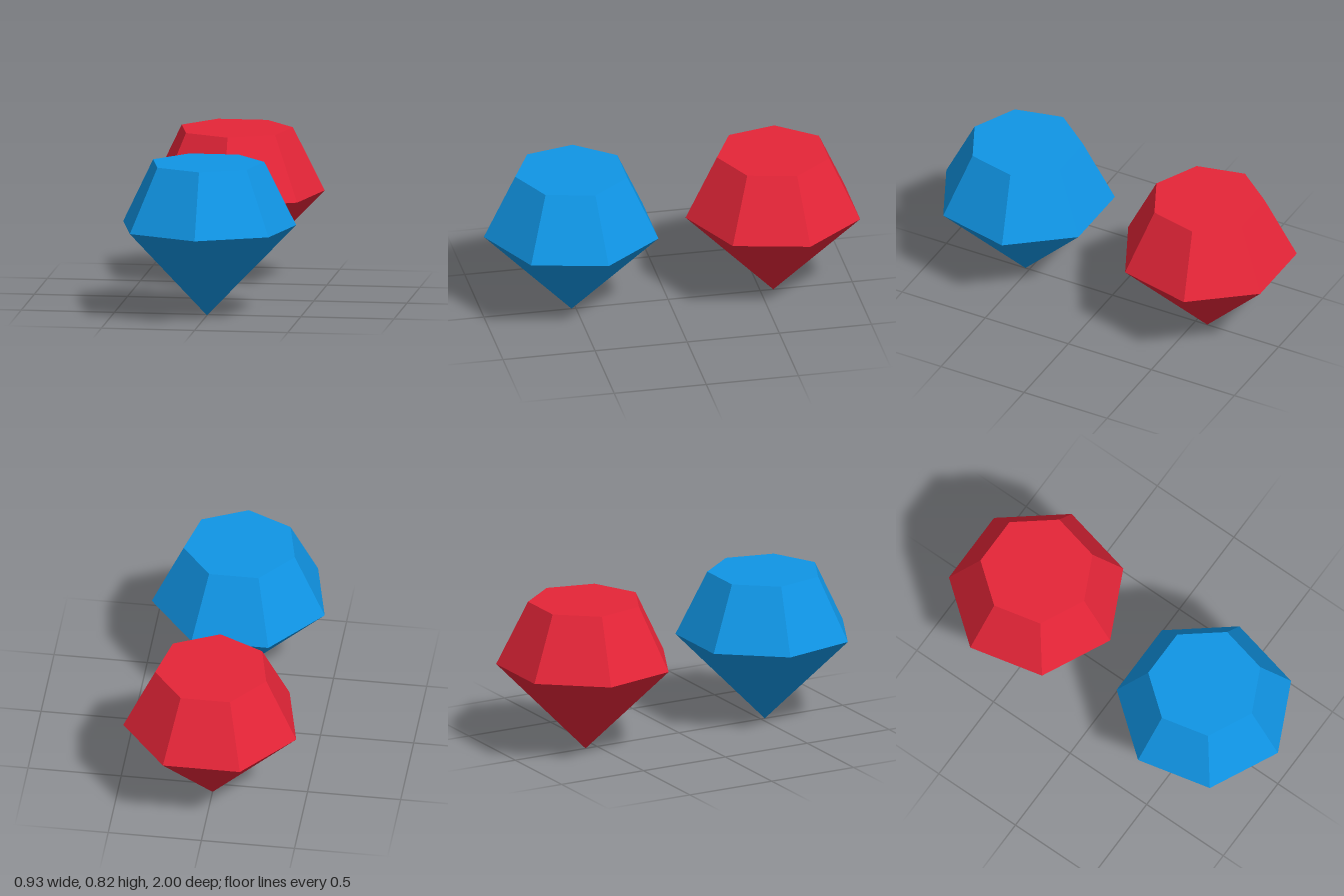
import * as THREE from 'three';

const SIDES = 7;

// Gem outline from the pointed tip up to the centre of the flat table
const PROFILE = [
  [0, 0],
  [0.476, 0.48],
  [0.306, 0.823],
  [0, 0.823],
].map(([r, y]) => new THREE.Vector2(r, y));

// One faceted gem, with a corner of its girdle pointing to the front
function gem(name, color, z) {
  const geometry = new THREE.LatheGeometry(PROFILE, SIDES).toNonIndexed();
  geometry.computeVertexNormals();
  const material = new THREE.MeshStandardMaterial({ color, flatShading: true });
  const mesh = new THREE.Mesh(geometry, material);
  mesh.name = name;
  mesh.position.z = z;
  return mesh;
}

export function createModel() {
  const group = new THREE.Group();
  group.name = 'gems';
  group.add(gem('blueGem', 0x1095e5, 0.524));
  group.add(gem('redGem', 0xe52538, -0.571));
  return group;
}
